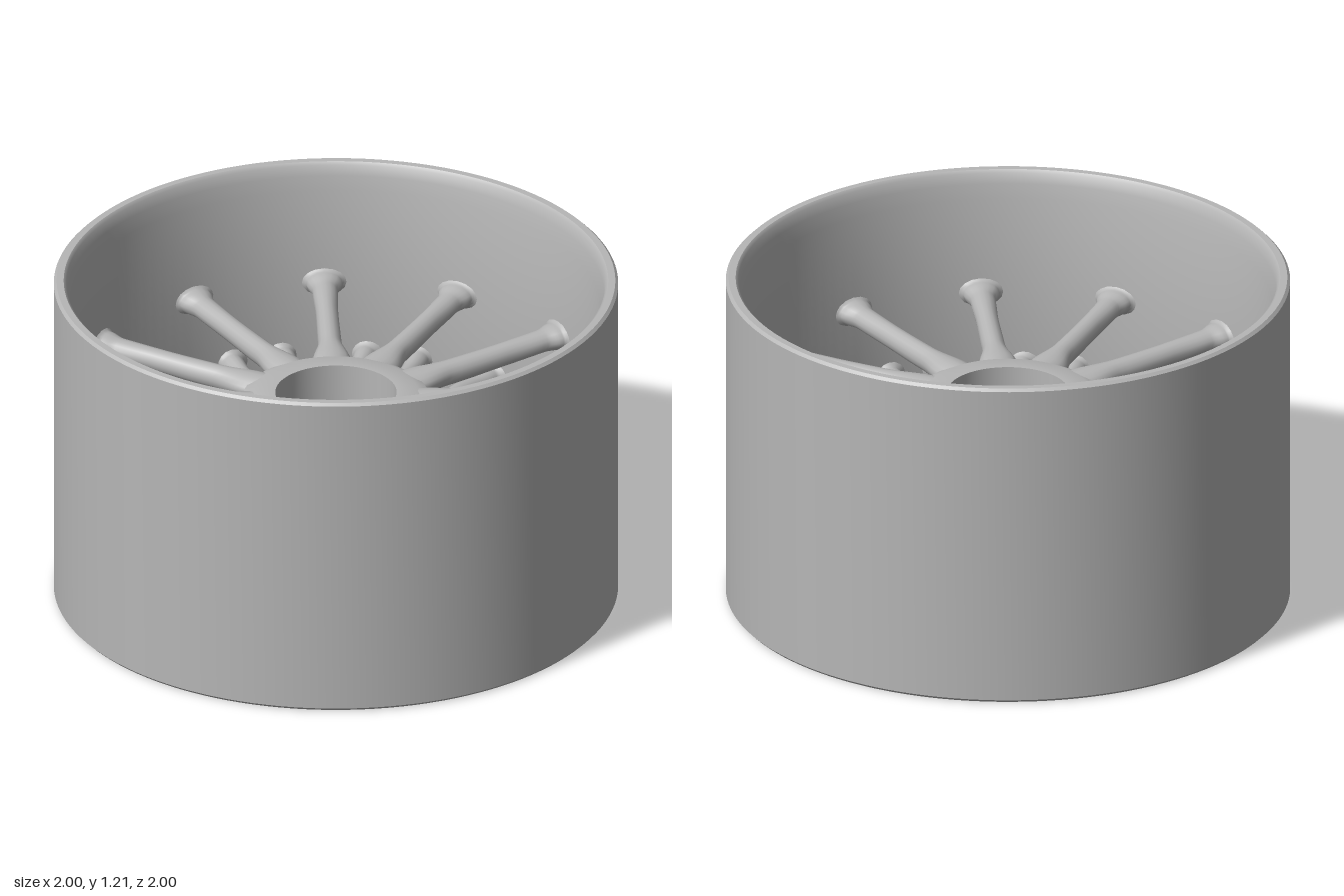
import * as THREE from 'three';
import { toCreasedNormals } from 'three/addons/utils/BufferGeometryUtils.js';

const SPOKES = 12;
const metal = new THREE.MeshStandardMaterial({ name: 'grey metal', color: 0xb6b6b6 });

// Turns a closed profile (up the outside, down the inside) around the y axis
function ring(name, profile, segments) {
  const points = [...profile, profile[0]].map(([r, y]) => new THREE.Vector2(r, y));
  const geometry = toCreasedNormals(new THREE.LatheGeometry(points, segments), 0.7);
  const mesh = new THREE.Mesh(geometry, metal);
  mesh.name = name;
  return mesh;
}

// Elliptical arm running outward along +z.
// Each station is [radius, sideways offset, height, half width, half thickness].
function armGeometry(stations, steps = 40, sides = 16) {
  const centres = new THREE.CatmullRomCurve3(
    stations.map(([r, x, y]) => new THREE.Vector3(x, y, r)), false, 'centripetal');
  const sizeAt = (r, k) => {
    let i = 0;
    while (i < stations.length - 2 && r > stations[i + 1][0]) i++;
    const a = stations[i], b = stations[i + 1];
    const t = THREE.MathUtils.smoothstep(r, a[0], b[0]);
    return THREE.MathUtils.lerp(a[k], b[k], t);
  };
  const positions = [], index = [];
  for (let i = 0; i <= steps; i++) {
    const c = centres.getPoint(i / steps);
    const w = sizeAt(c.z, 3), h = sizeAt(c.z, 4);
    for (let j = 0; j < sides; j++) {
      const a = (j / sides) * Math.PI * 2;
      positions.push(c.x + w * Math.cos(a), c.y + h * Math.sin(a), c.z);
      if (i < steps) {
        const p = i * sides + j, q = i * sides + (j + 1) % sides;
        index.push(p, q, p + sides, q, q + sides, p + sides);
      }
    }
  }
  // Close both ends
  for (let j = 1; j < sides - 1; j++) {
    const e = steps * sides;
    index.push(0, j + 1, j, e, e + j, e + j + 1);
  }
  const geometry = new THREE.BufferGeometry();
  geometry.setAttribute('position', new THREE.Float32BufferAttribute(positions, 3));
  geometry.setIndex(index);
  geometry.computeVertexNormals();
  return geometry;
}

export function createModel() {
  const model = new THREE.Group();
  model.name = 'wheel';

  // Open drum with thin lips at both ends
  model.add(ring('rimDrum', [
    [0.99, 0], [1, 0.01], [1, 1.2], [0.99, 1.21],
    [0.965, 1.21], [0.955, 1.2], [0.95, 1.16], [0.935, 1.11],
    [0.935, 0.1], [0.95, 0.05], [0.955, 0.01], [0.965, 0],
  ], 128));

  // Hub sleeve with a broad upper flange and a smaller lower one
  model.add(ring('hub', [
    [0.215, 0.44], [0.27, 0.44], [0.3, 0.455], [0.305, 0.48], [0.285, 0.53],
    [0.275, 0.6], [0.285, 0.65], [0.325, 0.69], [0.34, 0.72], [0.33, 0.75],
    [0.29, 0.77], [0.215, 0.77],
  ], 96));

  // Straight upper spokes, flared where they meet hub and drum
  const straight = armGeometry([
    [0.25, 0, 0.725, 0.07, 0.045], [0.33, 0, 0.725, 0.07, 0.045],
    [0.48, 0, 0.725, 0.042, 0.045], [0.7, 0, 0.735, 0.04, 0.042],
    [0.86, 0, 0.745, 0.045, 0.04], [0.92, 0, 0.75, 0.065, 0.045],
    [0.955, 0, 0.75, 0.12, 0.065],
  ]);

  // Lower spokes: a thick stem that splits into two branches
  const stem = armGeometry([
    [0.25, 0, 0.49, 0.05, 0.045], [0.4, 0, 0.485, 0.058, 0.05],
    [0.52, 0, 0.475, 0.066, 0.045], [0.62, 0, 0.475, 0.072, 0.048],
    [0.69, 0, 0.47, 0.06, 0.035], [0.71, 0, 0.47, 0.02, 0.015],
  ]);
  const branch = (side) => armGeometry([
    [0.56, side * 0.025, 0.475, 0.035, 0.04], [0.65, side * 0.052, 0.472, 0.042, 0.044],
    [0.72, side * 0.078, 0.47, 0.04, 0.042], [0.82, side * 0.09, 0.465, 0.036, 0.04],
    [0.91, side * 0.095, 0.465, 0.042, 0.043], [0.95, side * 0.097, 0.465, 0.075, 0.065],
  ]);
  const forkParts = [['forkStem', stem], ['forkBranchLeft', branch(1)], ['forkBranchRight', branch(-1)]];

  for (let i = 0; i < SPOKES; i++) {
    const angle = (i / SPOKES) * Math.PI * 2;
    const spoke = new THREE.Mesh(straight, metal);
    spoke.name = 'straightSpoke';
    spoke.rotation.y = angle;
    model.add(spoke);

    const fork = new THREE.Group();
    fork.name = 'forkedSpoke';
    fork.rotation.y = angle + Math.PI / SPOKES;
    for (const [name, geometry] of forkParts) {
      const mesh = new THREE.Mesh(geometry, metal);
      mesh.name = name;
      fork.add(mesh);
    }
    model.add(fork);
  }
  return model;
}
